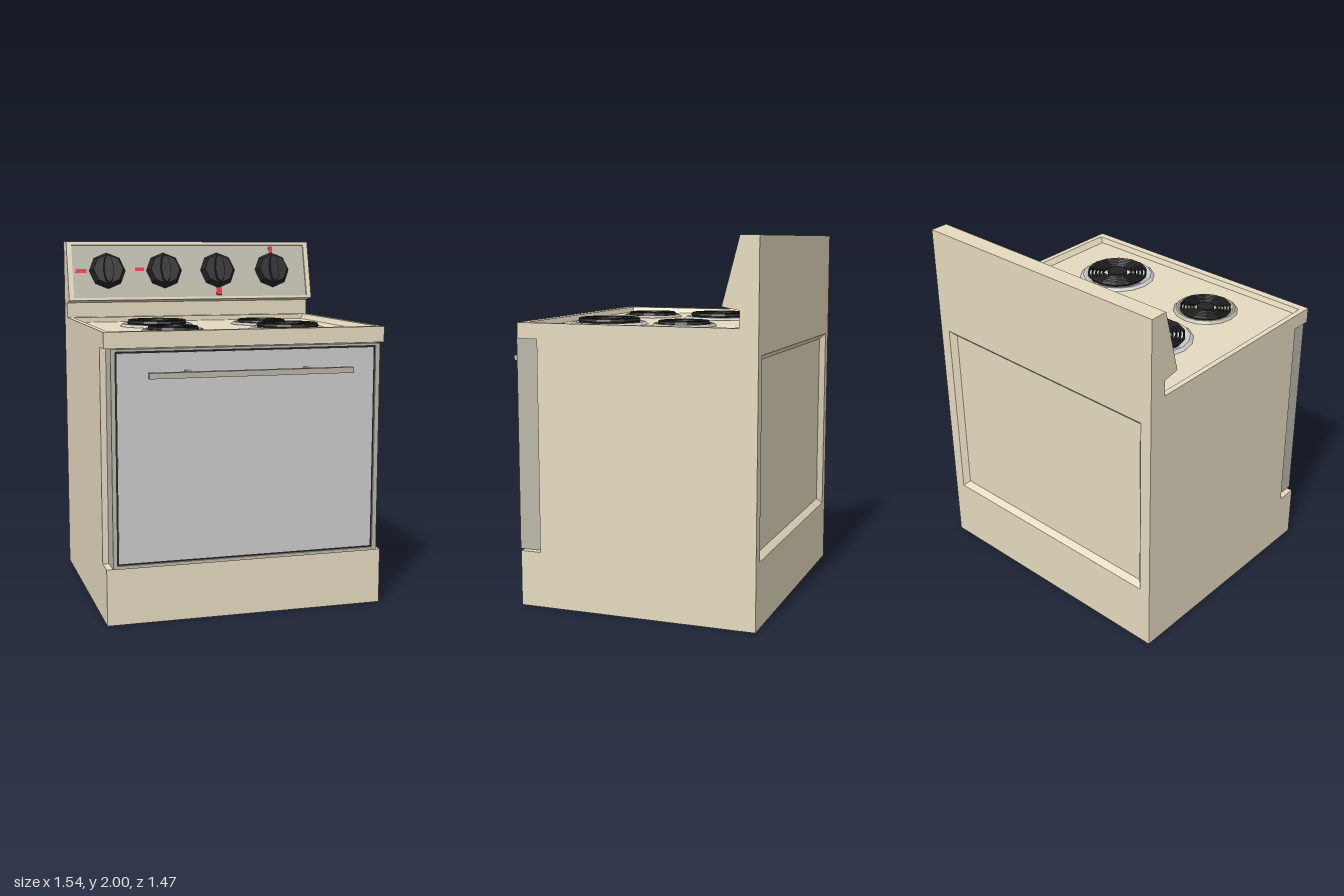
import * as THREE from 'three';

const mat = (color, side = THREE.FrontSide) =>
  new THREE.MeshStandardMaterial({ color, side, flatShading: true });
const enamel = mat(0xe4dabf);
const trim = mat(0xbab7a9);
const glass = mat(0xc8c8ca);
const panelGrey = mat(0xbcb9ab);
const black = mat(0x242424);
const red = mat(0xe8263f);
const chrome = mat(0xc8cacc, THREE.DoubleSide);
const dullChrome = mat(0xbab7a9, THREE.DoubleSide);

function add(parent, name, geometry, material, x = 0, y = 0, z = 0) {
  const mesh = new THREE.Mesh(geometry, material);
  mesh.name = name;
  mesh.position.set(x, y, z);
  parent.add(mesh);
  return mesh;
}
const box = (w, h, d) => new THREE.BoxGeometry(w, h, d);
const prism = (points, depth) => new THREE.ExtrudeGeometry(
  new THREE.Shape(points.map(([x, y]) => new THREE.Vector2(x, y))), { depth, bevelEnabled: false });

// Side profile of the stove as [z, y], with optional recesses
const slopeZ = (y) => -0.543 - 0.263 * (y - 1.65);
function sideProfile(frontRecess, backRecess) {
  const pts = [
    [0.59, 0], [0.59, 0.305], [0.475, 0.305], [0.475, 1.46], [0.59, 1.46], [0.59, 1.545],
  ];
  if (frontRecess) pts.push([0.545, 1.545], [0.535, 1.515], [-0.6, 1.515], [-0.6, 1.545]);
  pts.push([-0.635, 1.545], [-0.635, 1.633], [-0.543, 1.65]);
  if (frontRecess) {
    const a = slopeZ(1.665), b = slopeZ(1.98);
    pts.push([a, 1.665], [a - 0.012, 1.662], [b - 0.012, 1.977], [b, 1.98]);
  }
  pts.push([-0.635, 2], [-0.735, 2]);
  if (backRecess) pts.push([-0.735, 1.41], [-0.705, 1.38], [-0.705, 0.385], [-0.735, 0.355]);
  pts.push([-0.735, 0]);
  return pts.map(([z, y]) => [-z, y]);
}

// Slice of the body between two x positions
const bodySlice = (x0, x1, frontRecess, backRecess) =>
  prism(sideProfile(frontRecess, backRecess), x1 - x0).rotateY(Math.PI / 2).translate(x0, 0, 0);

function makeBody() {
  const body = new THREE.Group();
  body.name = 'body';
  add(body, 'bodyCentre', bodySlice(-0.705, 0.705, true, true), enamel);
  for (const s of [-1, 1]) {
    const side = s < 0 ? 'right' : 'left';
    const slice = (a, b, recess) => bodySlice(Math.min(s * a, s * b), Math.max(s * a, s * b), recess, false);
    add(body, side + 'InnerSide', slice(0.705, 0.74, true), enamel);
    add(body, side + 'OuterSide', slice(0.74, 0.77, false), enamel);
    // sloping edges of the sunken cooktop and of the back recess
    const cooktopEdge = [[s * 0.74, 1.514], [s * 0.74, 1.545], [s * 0.718, 1.514]];
    add(body, side + 'CooktopEdge', prism(cooktopEdge, 1.14), enamel, 0, 0, -0.6);
    const backEdge = [[s * 0.705, -0.735], [s * 0.705, -0.704], [s * 0.675, -0.704]];
    add(body, side + 'BackRecessEdge', prism(backEdge, 1.055).rotateX(Math.PI / 2), enamel, 0, 1.41, 0);
  }
  return body;
}

function makeDoor() {
  const door = new THREE.Group();
  door.name = 'ovenDoor';
  add(door, 'doorCore', box(1.476, 1.15, 0.11), trim, 0, 0.8825, 0.53);
  // raised frame around the window
  const frame = new THREE.Shape();
  frame.moveTo(-0.738, 0.3075).lineTo(0.738, 0.3075).lineTo(0.738, 1.4575).lineTo(-0.738, 1.4575).closePath();
  const hole = new THREE.Path();
  hole.moveTo(-0.715, 0.325).lineTo(-0.715, 1.444).lineTo(0.713, 1.444).lineTo(0.713, 0.325).closePath();
  frame.holes.push(hole);
  add(door, 'doorFrame', new THREE.ExtrudeGeometry(frame, { depth: 0.025, bevelEnabled: false }), trim, 0, 0, 0.585);
  add(door, 'doorGasket', box(1.428, 1.119, 0.02), black, -0.001, 0.8845, 0.589);
  add(door, 'doorWindow', box(1.41, 1.101, 0.02), glass, -0.001, 0.8845, 0.593);
  // handle
  add(door, 'handleBar', box(1.102, 0.03, 0.035), trim, -0.014, 1.33, 0.7175);
  for (const x of [-0.338, 0.312])
    add(door, 'handlePost', box(0.024, 0.022, 0.11), trim, x, 1.33, 0.65);
  return door;
}

// Drip pan with concentric, upright heating coils
function makeBurner(x, z, panR, coilR, coilTop, panMat) {
  const burner = new THREE.Group();
  burner.name = 'burner';
  burner.position.set(x, 1.515, z);
  const profile = [[0, 0.003], [0.78, 0.005], [0.86, 0.016], [0.92, 0.016], [1, 0.002]]
    .map(([r, y]) => new THREE.Vector2(r * panR, y));
  add(burner, 'dripPan', new THREE.LatheGeometry(profile, 16), panMat);
  const rings = 5, hub = coilR * 0.33, start = coilR * 0.46;
  const step = (coilR - start) / (rings - 0.5), halfHeight = 0.014;
  for (let i = 0; i < rings; i++) {
    const tube = step * 0.28;
    const ring = new THREE.TorusGeometry(start + (i + 0.22) * step, tube, 4, 14)
      .rotateX(Math.PI / 2).scale(1, halfHeight / tube, 1);
    add(burner, 'coil', ring, black, 0, coilTop - halfHeight, 0);
  }
  add(burner, 'coilHub', new THREE.CylinderGeometry(hub, hub, 0.016, 12), black, 0, coilTop - 0.012, 0);
  return burner;
}

function makeKnob(x, v) {
  const knob = new THREE.Group();
  knob.name = 'knob';
  knob.position.set(x, v, -0.007);
  add(knob, 'knobDisc', new THREE.CylinderGeometry(0.09, 0.111, 0.042, 8).rotateX(Math.PI / 2), black, 0, 0, 0.021);
  // tapered finger grip
  const grip = new THREE.CylinderGeometry(0.82, 1, 0.05, 8).rotateX(Math.PI / 2).scale(0.036, 0.104, 1);
  add(knob, 'knobGrip', grip, black, 0, 0, 0.038);
  return knob;
}

function makeControls() {
  const controls = new THREE.Group();
  controls.name = 'controlPanel';
  controls.position.set(0, 1.8225, slopeZ(1.8225));
  controls.rotation.x = -Math.atan(0.263);
  const v = (y) => (y - 1.8225) / 0.967;
  add(controls, 'panelPlate', box(1.478, 0.323, 0.008), panelGrey, 0, 0, -0.012);
  for (const x of [-0.528, -0.175, 0.167, 0.522]) controls.add(makeKnob(x, v(1.827)));
  // pointer marks: x, y, width, height
  for (const [x, y, w, h] of [
    [-0.688, 1.827, 0.066, 0.026], [-0.328, 1.835, 0.056, 0.022],
    [0.168, 1.7, 0.034, 0.05], [0.522, 1.953, 0.024, 0.036],
  ]) add(controls, 'dialMark', box(w, h, 0.004), red, x, v(y), -0.007);
  return controls;
}

export function createModel() {
  const stove = new THREE.Group();
  stove.name = 'stove';
  stove.add(makeBody(), makeDoor(), makeControls());
  stove.add(
    makeBurner(-0.314, -0.19, 0.217, 0.175, 0.037, chrome),
    makeBurner(0.334, 0.247, 0.217, 0.175, 0.037, chrome),
    makeBurner(0.32, -0.186, 0.179, 0.143, 0.03, dullChrome),
    makeBurner(-0.323, 0.247, 0.179, 0.143, 0.03, dullChrome),
  );
  return stove;
}
